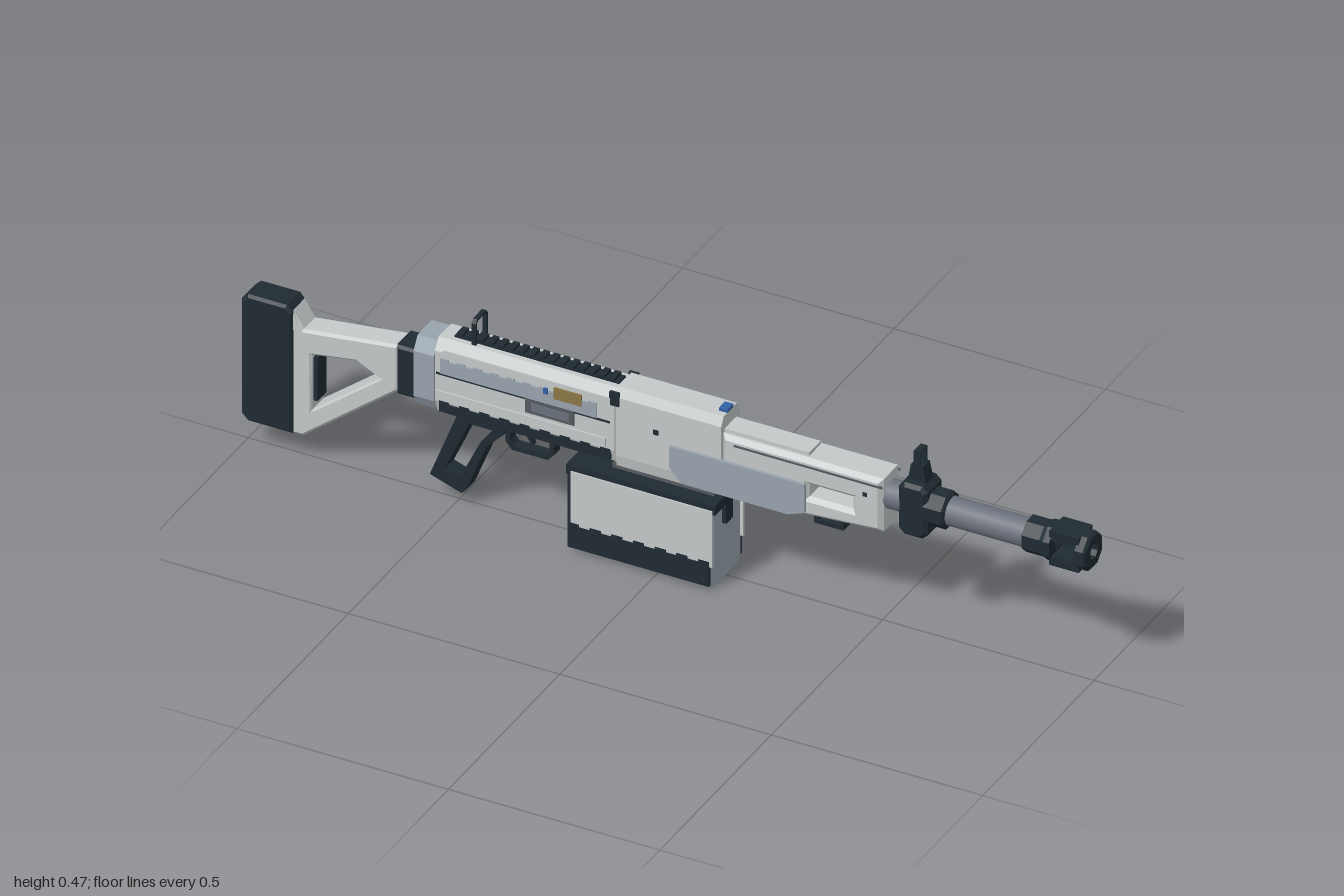
import * as THREE from 'three';

const mat = (name, color) => {
  const m = new THREE.MeshStandardMaterial({ color });
  m.name = name;
  return m;
};

export function createModel() {
  const root = new THREE.Group();
  const light = mat('lightGrey', 0xc4c8c8), slate = mat('slateGrey', 0x98a3ad), dark = mat('darkSteel', 0x1f2b32);
  const steel = mat('barrelSteel', 0x6b717c), shade = mat('deepGrey', 0x565a60);
  const brass = mat('brass', 0x8c7646), blue = mat('blue', 0x3161a4);

  const add = (name, geo, material, x = 0, y = 0, z = 0) => {
    const m = new THREE.Mesh(geo, material);
    m.name = name;
    m.position.set(x, y, z);
    root.add(m);
    return m;
  };
  // Box given by its limits on each axis
  const box = (name, material, x0, x1, y0, y1, z0, z1) =>
    add(name, new THREE.BoxGeometry(x1 - x0, y1 - y0, z1 - z0), material, (x0 + x1) / 2, (y0 + y1) / 2, (z0 + z1) / 2);
  const shapeOf = (pts, holes = []) => {
    const s = new THREE.Shape(pts.map(p => new THREE.Vector2(...p)));
    holes.forEach(h => s.holes.push(new THREE.Path(h.map(p => new THREE.Vector2(...p)))));
    return s;
  };
  const rect = (x0, x1, y0, y1) => [[x0, y0], [x1, y0], [x1, y1], [x0, y1]];
  // Side outline extruded across z, with optional chamfer
  const slab = (name, material, pts, z0, z1, holes = [], bevel = 0) => {
    const g = new THREE.ExtrudeGeometry(shapeOf(pts, holes), {
      depth: z1 - z0 - 2 * bevel, bevelEnabled: bevel > 0, bevelSize: bevel,
      bevelThickness: bevel, bevelOffset: -bevel, bevelSegments: 1,
    });
    return add(name, g, material, 0, 0, z0 + bevel);
  };
  // Symmetric cross-section [half width, y] extruded along x
  const prism = (name, material, half, x0, x1, holes = []) => {
    const pts = [...half, ...half.map(([z, y]) => [-z, y]).reverse()];
    const g = new THREE.ExtrudeGeometry(shapeOf(pts, holes), { depth: x1 - x0, bevelEnabled: false });
    return add(name, g.rotateY(Math.PI / 2), material, x0);
  };
  // Turned part along x from [x, radius] points
  const AXIS = 0.322;
  const turned = (name, material, pts, sides, flat) => {
    let g = new THREE.LatheGeometry(pts.map(([x, r]) => new THREE.Vector2(r, x)), sides, Math.PI / sides);
    g.rotateZ(-Math.PI / 2);
    if (flat) { g = g.toNonIndexed(); g.computeVertexNormals(); }
    return add(name, g, material, 0, AXIS, 0);
  };
  // Edge with square teeth along its top, for panel borders
  const toothed = (x0, x1, y0, y1, n, h) => {
    const pts = [[x0, y0], [x1, y0]], w = (x1 - x0) / n;
    for (let i = n - 1; i >= 0; i--) {
      const y = i % 2 ? y1 - h : y1;
      pts.push([x0 + (i + 1) * w, y], [x0 + i * w, y]);
    }
    return pts;
  };

  // Stock
  slab('buttPad', dark, [[-1, 0.08], [-0.985, 0.065], [-0.88, 0.065], [-0.88, 0.365], [-0.893, 0.38], [-0.985, 0.38], [-1, 0.365]],
    -0.035, 0.035, [], 0.006);
  slab('stock', light, [[-0.88, 0.065], [-0.855, 0.065], [-0.63, 0.245], [-0.63, 0.358], [-0.855, 0.33], [-0.88, 0.37]],
    -0.031, 0.031, [[[-0.835, 0.135], [-0.835, 0.272], [-0.73, 0.288], [-0.675, 0.262]]], 0.006);
  box('stockInsert', dark, -0.842, -0.826, 0.155, 0.262, -0.02, 0.02);
  slab('stockCollar', dark, rect(-0.632, -0.58, 0.24, 0.362), -0.036, 0.036, [], 0.006);

  // Receiver
  prism('receiverRear', slate, [[0.036, 0.235], [0.05, 0.26], [0.05, 0.372], [0.032, 0.402]], -0.583, -0.535);
  prism('receiver', light, [[0.034, 0.23], [0.046, 0.262], [0.046, 0.385], [0.028, 0.41]], -0.535, -0.11);
  prism('receiverFront', light, [[0.036, 0.222], [0.042, 0.25], [0.042, 0.395], [0.03, 0.415]], -0.11, 0.14);
  box('feedNeck', shade, -0.12, 0.12, 0.21, 0.226, -0.035, 0.035);
  box('frontBlueMark', blue, 0.12, 0.14, 0.415, 0.422, -0.014, 0.014);
  for (const s of [1, -1]) {
    const side = (name, m, pts, base, t) => slab(name, m, pts, s > 0 ? base : -base - t, s > 0 ? base + t : -base);
    side('coverPanel', light, [[-0.53, 0.335], [-0.12, 0.335], [-0.12, 0.392], [-0.51, 0.392], [-0.53, 0.38]], 0.045, 0.003);
    side('coverBand', slate, toothed(-0.52, -0.15, 0.335, 0.372, 19, 0.004), 0.047, 0.004);
    side('coverSeam', dark, rect(-0.53, -0.12, 0.33, 0.335), 0.045, 0.004);
    side('brassWindow', brass, rect(-0.25, -0.185, 0.354, 0.382), 0.049, 0.004);
    side('blueTick', blue, rect(-0.275, -0.265, 0.36, 0.374), 0.049, 0.004);
    side('ejectionSlot', shade, rect(-0.32, -0.205, 0.298, 0.333), 0.045, 0.004);
    side('ejectionBolt', steel, rect(-0.305, -0.215, 0.306, 0.325), 0.045, 0.006);
    side('notch', dark, rect(-0.122, -0.1, 0.375, 0.408), 0.04, 0.007);
    side('midRib', light, rect(-0.53, -0.13, 0.268, 0.29), 0.045, 0.005);
    side('lowerRail', dark, toothed(-0.525, -0.12, 0.237, 0.264, 17, 0.006), 0.041, 0.006);
    side('frontPanel', slate, [[0.05, 0.23], [0.3, 0.23], [0.34, 0.245], [0.34, 0.315], [0.02, 0.315], [0.02, 0.262]], 0.04, 0.008);
    side('guardSeam', shade, rect(0.17, 0.52, 0.355, 0.36), 0.039, 0.003);
    side('guardScrew', dark, rect(0.475, 0.485, 0.325, 0.335), 0.04, 0.002);
    side('frontScrew', dark, rect(-0.02, -0.008, 0.33, 0.342), 0.042, 0.002);
  }

  // Charging knob on the far side
  add('knobStem', new THREE.CylinderGeometry(0.006, 0.006, 0.02, 10).rotateX(Math.PI / 2), steel, -0.38, 0.305, -0.052);
  add('chargingKnob', new THREE.CylinderGeometry(0.015, 0.015, 0.014, 12).rotateX(Math.PI / 2), blue, -0.38, 0.305, -0.062);

  // Belt of cartridges entering on the far side
  box('feedOpening', shade, -0.11, -0.01, 0.22, 0.365, -0.045, -0.04);
  for (let i = 0; i < 5; i++) {
    const y = 0.235 + i * 0.028;
    add('cartridge', new THREE.CylinderGeometry(0.011, 0.011, 0.065, 10).rotateZ(Math.PI / 2), brass, -0.065, y, -0.045);
    add('cartridgeTip', new THREE.CylinderGeometry(0.003, 0.009, 0.022, 10).rotateZ(-Math.PI / 2), brass, -0.022, y, -0.045);
  }

  // Top rail and rear sight
  box('railBase', dark, -0.505, -0.115, 0.405, 0.414, -0.015, 0.015);
  for (let i = 0; i < 16; i++) {
    const x = -0.5 + i * 0.024;
    box('railTooth', dark, x, x + 0.014, 0.413, 0.421, -0.015, 0.015);
  }
  prism('rearSight', dark, [[0.027, 0.412], [0.027, 0.465], [0.02, 0.474]], -0.458, -0.448,
    [[[-0.022, 0.418], [0.022, 0.418], [0.022, 0.463], [0.017, 0.469], [-0.017, 0.469], [-0.022, 0.463]]]);

  // Handguard with a through slot
  slab('handguard', light, [[0.14, 0.225], [0.34, 0.232], [0.52, 0.245], [0.52, 0.375], [0.14, 0.375]], -0.041, 0.041,
    [rect(0.345, 0.448, 0.28, 0.31)], 0.01);
  box('handguardTop', light, 0.14, 0.34, 0.37, 0.383, -0.026, 0.026);
  slab('slingLoop', dark, rect(0.345, 0.415, 0.204, 0.244), -0.014, 0.014, [rect(0.355, 0.405, 0.214, 0.236)]);

  // Barrel, sight block and muzzle
  turned('barrel', steel, [[0.5, 0.033], [0.87, 0.033]], 20, false);
  slab('sightBlock', dark, [[0.555, 0.265], [0.568, 0.253], [0.61, 0.253], [0.623, 0.265], [0.623, 0.37], [0.61, 0.382], [0.568, 0.382], [0.555, 0.37]],
    -0.038, 0.038, [], 0.008);
  turned('sightCollar', dark, [[0.615, 0], [0.615, 0.043], [0.658, 0.043], [0.664, 0.036], [0.664, 0]], 8, true);
  slab('sightPost', dark, [[0.568, 0.378], [0.612, 0.378], [0.603, 0.42], [0.575, 0.42]], -0.016, 0.016);
  prism('frontSightHood', dark, [[0.016, 0.416], [0.016, 0.456]], 0.582, 0.598, [rect(-0.012, 0.012, 0.421, 0.452)]);
  add('sightBlade', new THREE.ConeGeometry(0.004, 0.024, 6), blue, 0.59, 0.431, 0);
  turned('muzzleRear', dark, [[0.848, 0.033], [0.848, 0.041], [0.89, 0.041], [0.9, 0.045], [0.915, 0.045], [0.915, 0.018], [0.9, 0]], 8, true);
  // Open slots on both sides of the muzzle
  for (const s of [1, -1])
    box('muzzleBridge', dark, 0.91, 0.98, AXIS + (s > 0 ? 0.02 : -0.042), AXIS + (s > 0 ? 0.042 : -0.02), -0.032, 0.032);
  turned('muzzleRing', dark, [[0.975, 0.018], [0.975, 0.045], [0.994, 0.045], [1, 0.039], [1, 0.018], [0.975, 0.018]], 8, true);

  // Grip and trigger
  slab('grip', dark, [[-0.56, 0.055], [-0.485, 0.03], [-0.475, 0.04], [-0.425, 0.165], [-0.385, 0.205], [-0.385, 0.235], [-0.49, 0.235]],
    -0.021, 0.021, [[[-0.525, 0.078], [-0.49, 0.066], [-0.44, 0.17], [-0.41, 0.208], [-0.467, 0.208]]]);
  slab('triggerGuard', dark, [[-0.385, 0.235], [-0.385, 0.185], [-0.37, 0.168], [-0.285, 0.168], [-0.27, 0.185], [-0.27, 0.235]],
    -0.013, 0.013, [[[-0.374, 0.227], [-0.374, 0.189], [-0.366, 0.179], [-0.289, 0.179], [-0.281, 0.189], [-0.281, 0.227]]]);
  slab('trigger', dark, [[-0.335, 0.235], [-0.338, 0.205], [-0.325, 0.188], [-0.322, 0.19], [-0.328, 0.207], [-0.32, 0.235]], -0.006, 0.006);

  // Ammunition box
  prism('ammoBox', slate, [[0.056, 0], [0.067, 0.012], [0.067, 0.195]], -0.198, 0.128);
  box('ammoLid', dark, -0.212, 0.14, 0.19, 0.213, -0.07, 0.07);
  box('lidClip', dark, 0.125, 0.138, 0.138, 0.2, -0.015, 0.015);
  box('clipTab', dark, 0.11, 0.13, 0.205, 0.238, -0.006, 0.006);
  for (const s of [1, -1]) {
    const z0 = s > 0 ? 0.066 : -0.073, z1 = z0 + 0.007;
    slab('boxSidePanel', light, rect(-0.2, 0.135, 0.06, 0.2), z0, z1);
    const base = toothed(-0.205, 0.128, 0.012, 0.073, 13, 0.006);
    slab('boxLowerGuard', dark, base, z0, z1 + (s > 0 ? 0.002 : 0)).position.z -= s > 0 ? 0 : 0.002;
    slab('boxEdge', dark, rect(-0.207, -0.198, 0.012, 0.2), z0, z1);
  }
  slab('boxHandle', dark, rect(-0.08, 0.02, 0.14, 0.172), -0.077, -0.072, [rect(-0.072, 0.012, 0.148, 0.164)]);

  return root;
}
